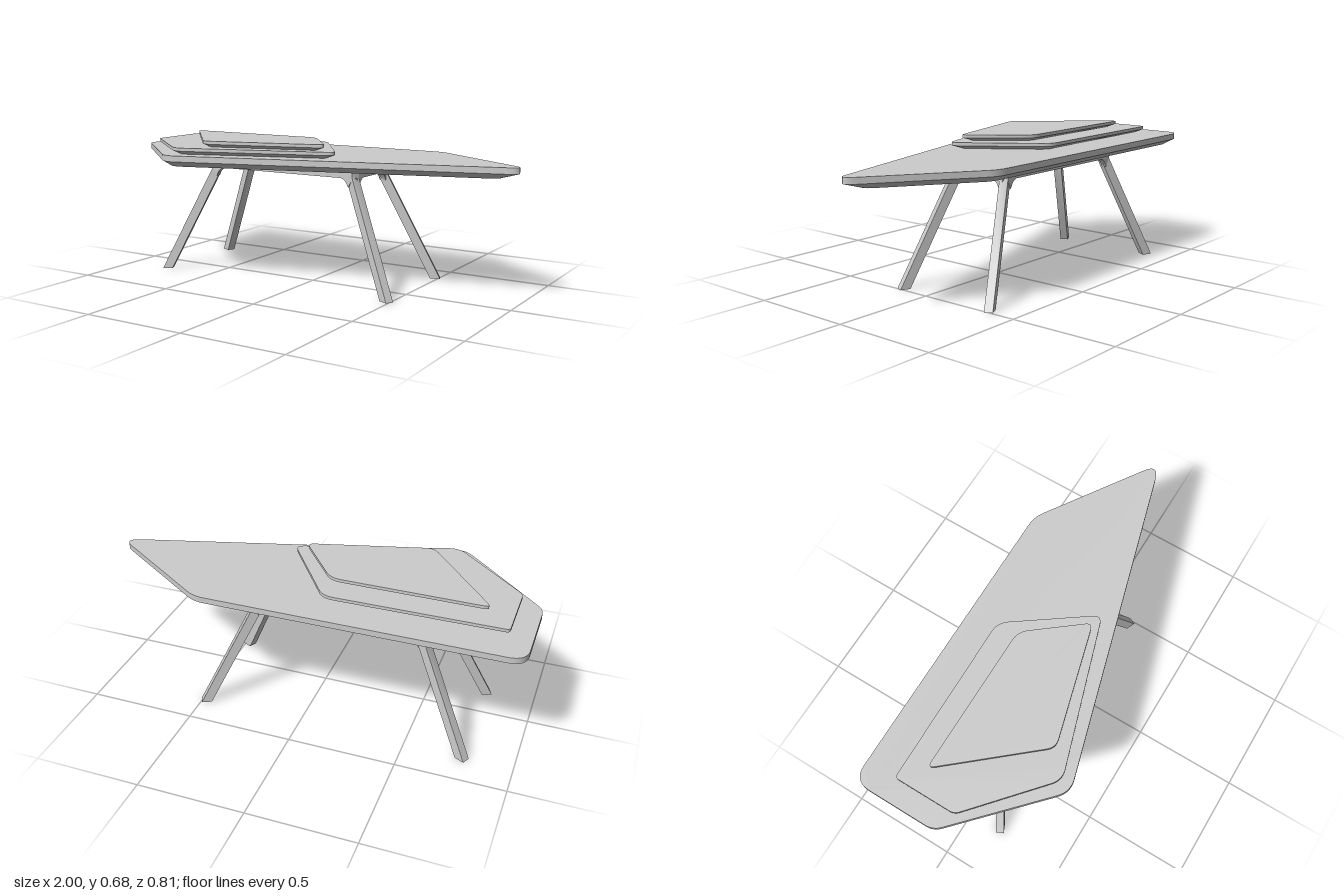
import * as THREE from 'three';
import { toCreasedNormals } from 'three/addons/utils/BufferGeometryUtils.js';

const material = new THREE.MeshStandardMaterial({ color: 0xcccccc });
const V2 = (x, z) => new THREE.Vector2(x, z);

function add(group, name, geometry) {
  const mesh = new THREE.Mesh(geometry, material);
  mesh.name = name;
  group.add(mesh);
  return mesh;
}

// Joins convex outlines (x, z) stacked at rising heights and caps both ends
function loft(rings) {
  const n = rings[0].points.length, pos = [], index = [];
  for (const r of rings) for (const p of r.points) pos.push(p.x, r.y, p.y);
  for (let k = 0; k < rings.length - 1; k++) {
    for (let i = 0; i < n; i++) {
      const a = k * n + i, b = k * n + (i + 1) % n;
      index.push(a, a + n, b + n, a, b + n, b);
    }
  }
  const top = (rings.length - 1) * n;
  for (let i = 1; i < n - 1; i++) {
    index.push(0, i, i + 1, top, top + i + 1, top + i);
  }
  const g = new THREE.BufferGeometry();
  g.setAttribute('position', new THREE.Float32BufferAttribute(pos, 3));
  g.setIndex(index);
  return toCreasedNormals(g, 0.5);
}

// Moves every edge of a polygon inward by t
function inset(poly, t) {
  const inward = (a, b) => { const d = b.clone().sub(a).normalize(); return V2(-d.y, d.x); };
  return poly.map((p, i) => {
    const n1 = inward(poly.at(i - 1), p), n2 = inward(p, poly[(i + 1) % poly.length]);
    return n1.clone().add(n2).multiplyScalar(t / (1 + n1.dot(n2))).add(p);
  });
}

// Rounds each corner with a short curve
function rounded(poly, cuts) {
  return poly.flatMap((p, i) => {
    const toward = q => q.clone().sub(p).setLength(cuts[i]).add(p);
    const curve = new THREE.QuadraticBezierCurve(toward(poly.at(i - 1)), p, toward(poly[(i + 1) % poly.length]));
    return curve.getPoints(8);
  });
}

// Faceted board with an upright rim and an undercut lower edge
function board(corners, cuts, undercut, yBottom, yRim, yTop) {
  const poly = corners.map(c => V2(...c));
  const outer = rounded(poly, cuts);
  return loft([
    { y: yBottom, points: rounded(inset(poly, undercut), cuts.map(c => c * 0.8)) },
    { y: yRim, points: outer },
    { y: yTop, points: outer },
  ]);
}

export function createModel() {
  const table = new THREE.Group();
  table.name = 'table';

  // Stacked boards
  add(table, 'tableTop', board(
    [[-1, -0.402], [0.48, -0.407], [1.04, -0.04], [-0.56, 0.418], [-1, 0.005]],
    [0.08, 0.05, 0.09, 0.06, 0.04], 0.043, 0.558, 0.585, 0.613));
  add(table, 'middleBoard', board(
    [[-0.9, -0.25], [-0.075, -0.258], [0.2, 0.127], [-0.54, 0.365], [-0.9, 0.05]],
    [0.02, 0.05, 0.045, 0.05, 0.025], 0.033, 0.613, 0.63, 0.645));
  add(table, 'upperBoard', board(
    [[-0.8, -0.15], [-0.075, -0.15], [0.135, 0.115], [-0.44, 0.272]],
    [0.035, 0.05, 0.035, 0.04], 0.028, 0.645, 0.66, 0.675));

  // Underframe, symmetric about its own centre
  const base = new THREE.Group();
  base.name = 'underframe';
  base.position.set(-0.145, 0, -0.1);
  table.add(base);

  const hx = 0.415, hz = 0.17, bar = 0.03;
  const frame = new THREE.Shape([
    V2(hx, hz - 0.034), V2(hx - 0.017, hz), V2(-hx + 0.017, hz), V2(-hx, hz - 0.034),
    V2(-hx, -hz + 0.034), V2(-hx + 0.017, -hz), V2(hx - 0.017, -hz), V2(hx, -hz + 0.034)]);
  const ix = hx - bar, iz = hz - bar;
  frame.holes.push(new THREE.Path([V2(ix, iz), V2(ix, -iz), V2(-ix, -iz), V2(-ix, iz)]));
  const frameGeo = new THREE.ExtrudeGeometry(frame, { depth: 0.038, bevelEnabled: false });
  frameGeo.rotateX(-Math.PI / 2).translate(0, 0.522, 0);
  add(base, 'frame', frameGeo);

  // Concave fillet between a leg and a bar; x runs inward along the bar
  const fillet = new THREE.Shape();
  fillet.moveTo(0.015, 0.525);
  fillet.lineTo(0.04, 0.48);
  fillet.quadraticCurveTo(0.055, 0.522, 0.09, 0.523);
  fillet.closePath();
  const filletGeo = () => new THREE.ExtrudeGeometry(fillet, { depth: bar - 0.004, bevelEnabled: false, curveSegments: 8 });

  // Leg section turned to face along its splay
  const section = (cx, cz, sx, sz) => {
    const dx = 0.905 * sx, dz = 0.425 * sz, l = 0.024, w = 0.0195;
    return [[-1, -1], [1, -1], [1, 1], [-1, 1]].map(([a, b]) =>
      V2(cx * sx + a * l * dx - b * w * dz, cz * sz + a * l * dz + b * w * dx));
  };

  for (const sx of [1, -1]) for (const sz of [1, -1]) {
    const name = (sz > 0 ? 'front' : 'back') + (sx > 0 ? 'Left' : 'Right');
    add(base, name + 'Leg', loft([
      { y: 0, points: section(0.625, 0.257, sx, sz) },
      { y: 0.52, points: section(0.385, 0.142, sx, sz) },
      { y: 0.558, points: section(0.385, 0.142, sx, sz) },
    ]));
    // Fillets under the long and short bars
    const long = add(base, name + 'LongFillet', filletGeo());
    long.rotation.y = sx > 0 ? Math.PI : 0;
    long.position.set(sx * hx, 0, sz * (hz - bar / 2) + sx * (bar / 2 - 0.002));
    const short = add(base, name + 'ShortFillet', filletGeo());
    short.rotation.y = sz * Math.PI / 2;
    short.position.set(sx * (hx - bar / 2) - sz * (bar / 2 - 0.002), 0, sz * hz);
  }
  return table;
}
